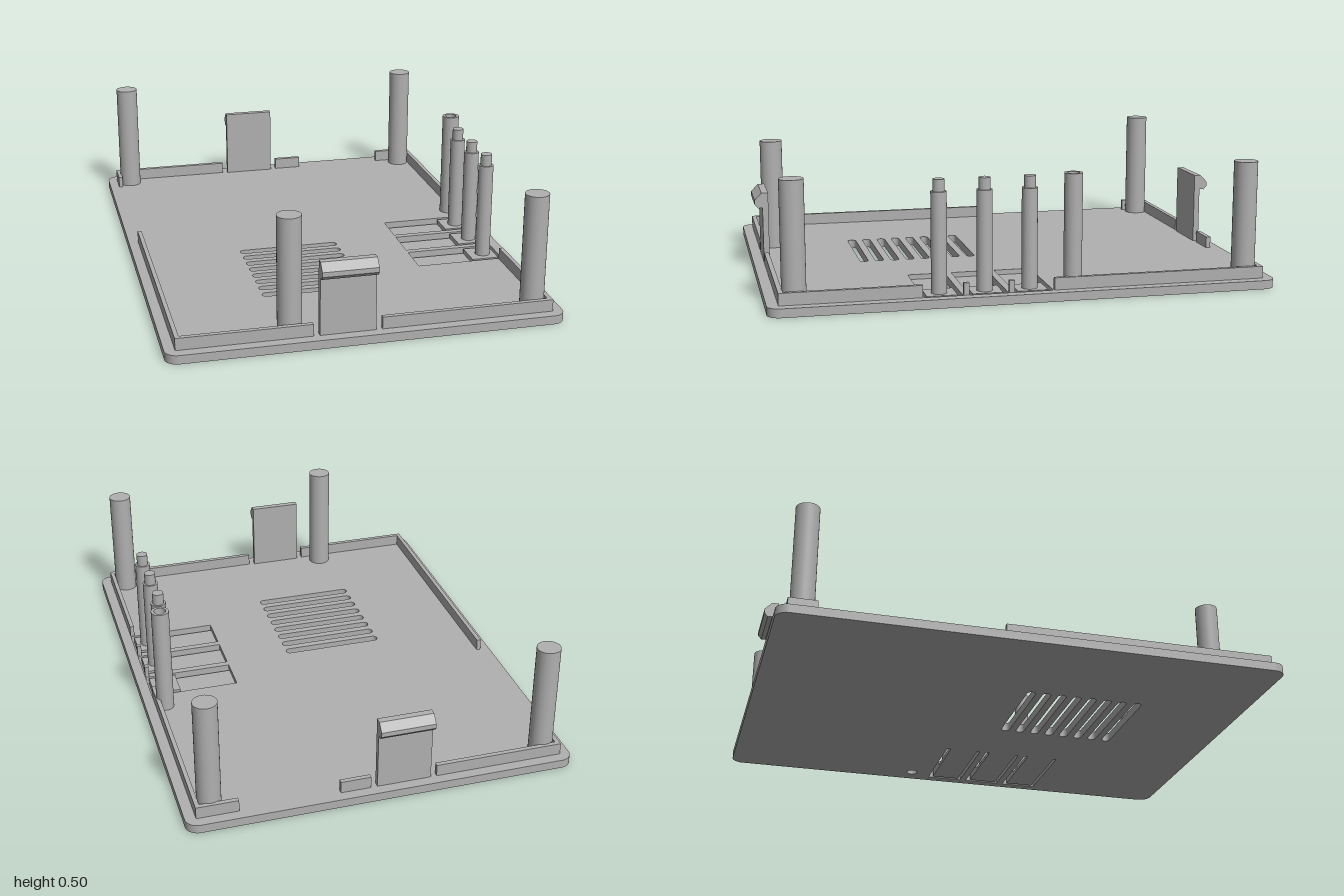
import * as THREE from 'three';

export function createModel() {
  const root = new THREE.Group();
  root.name = 'enclosureLid';
  const plastic = new THREE.MeshStandardMaterial({ color: 0xb0b0b0 });
  plastic.name = 'greyPlastic';

  const FLOOR = 0.035;

  function add(name, geometry) {
    const mesh = new THREE.Mesh(geometry, plastic);
    mesh.name = name;
    root.add(mesh);
    return mesh;
  }
  // box given by its limits on each axis
  function box(name, x0, x1, y0, y1, z0, z1) {
    const g = new THREE.BoxGeometry(x1 - x0, y1 - y0, z1 - z0);
    g.translate((x0 + x1) / 2, (y0 + y1) / 2, (z0 + z1) / 2);
    return add(name, g);
  }
  function post(name, x, z, r, y0, y1) {
    const g = new THREE.CylinderGeometry(r, r, y1 - y0, 32);
    g.translate(x, (y0 + y1) / 2, z);
    return add(name, g);
  }
  // outline in plan (drawn with y = -z), raised from y0 to y1
  function raise(name, shape, y0, y1) {
    const g = new THREE.ExtrudeGeometry(shape, { depth: y1 - y0, bevelEnabled: false, curveSegments: 16 });
    g.rotateX(-Math.PI / 2);
    g.translate(0, y0, 0);
    return add(name, g);
  }
  function roundedOutline(path, x0, x1, z0, z1, r) {
    path.absarc(x1 - r, -z0 - r, r, 0, Math.PI / 2);
    path.absarc(x0 + r, -z0 - r, r, Math.PI / 2, Math.PI);
    path.absarc(x0 + r, -z1 + r, r, Math.PI, Math.PI * 1.5);
    path.absarc(x1 - r, -z1 + r, r, Math.PI * 1.5, Math.PI * 2);
    path.closePath();
    return path;
  }
  function rectHole(x0, x1, z0, z1) {
    return new THREE.Path([[x0, z0], [x0, z1], [x1, z1], [x1, z0]].map(([x, z]) => new THREE.Vector2(x, -z)));
  }
  function roundHole(x, z, r) {
    return new THREE.Path().absarc(x, -z, r, 0, Math.PI * 2, true);
  }

  // base plate with vents, button openings and the light hole
  const plate = roundedOutline(new THREE.Shape(), -0.772, 0.772, -1, 1, 0.05);
  for (let i = 0; i < 8; i++) {
    const z = 0.093 + i * 0.0648, r = 0.0175;
    const slot = new THREE.Path();
    slot.absarc(0.095 - r, -z, r, -Math.PI / 2, Math.PI / 2);
    slot.absarc(-0.325 + r, -z, r, Math.PI / 2, Math.PI * 1.5);
    slot.closePath();
    plate.holes.push(slot);
  }
  const buttons = [-0.015, 0.163, 0.341];
  for (const z of buttons) plate.holes.push(rectHole(0.365, 0.73, z - 0.08, z + 0.07));
  plate.holes.push(roundHole(0.69, -0.182, 0.024));
  raise('basePlate', plate, 0, FLOOR);

  // flexible button tongues with their stepped pins
  for (const z of buttons) {
    box('buttonTongue', 0.365, 0.717, 0, 0.015, z - 0.063, z + 0.057);
    box('buttonPad', 0.605, 0.717, 0.015, FLOOR, z - 0.063, z + 0.057);
    post('buttonPin', 0.667, z, 0.031, FLOOR, 0.43);
    post('buttonPinTip', 0.667, z, 0.023, 0.43, 0.477);
  }

  // hollow light guide
  const ring = new THREE.Shape().absarc(0.69, 0.182, 0.036, 0, Math.PI * 2);
  ring.holes.push(roundHole(0.69, -0.182, 0.024));
  raise('lightTube', ring, FLOOR, 0.485);

  // support posts
  for (const [x, z] of [[-0.672, -0.897], [0.667, -0.897], [-0.293, 0.893], [0.667, 0.893]]) {
    post('supportPost', x, z, 0.047, FLOOR, 0.5);
  }

  // broken locating lip around the rim: x0, x1, z0, z1
  const lips = [
    [-0.732, -0.215, 0.938, 0.957], [0.05, 0.73, 0.938, 0.957],
    [-0.732, -0.215, -0.957, -0.938], [0.05, 0.17, -0.957, -0.938], [0.565, 0.73, -0.957, -0.938],
    [-0.732, -0.715, -0.938, -0.845], [-0.732, -0.715, -0.13, 0.938],
    [0.713, 0.73, -0.938, -0.1], [0.713, 0.73, 0.058, 0.08],
    [0.713, 0.73, 0.236, 0.258], [0.713, 0.73, 0.415, 0.938],
  ];
  for (const [x0, x1, z0, z1] of lips) box('rimLip', x0, x1, FLOOR, 0.083, z0, z1);

  // snap clips: hooked side profile (z, y) swept across the width
  const profile = new THREE.Shape([
    [0.933, FLOOR], [0.957, FLOOR], [0.957, 0.268], [0.975, 0.266], [0.989, 0.281],
    [0.989, 0.3], [0.96, 0.33], [0.933, 0.33],
  ].map(([z, y]) => new THREE.Vector2(z, y)));
  const clip = new THREE.ExtrudeGeometry(profile, { depth: 0.216, bevelEnabled: false });
  clip.rotateY(-Math.PI / 2);
  clip.translate(0.108, 0, 0);
  for (const [name, turn] of [['frontClip', 0], ['backClip', Math.PI]]) {
    const mesh = add(name, clip);
    mesh.position.x = -0.083;
    mesh.rotation.y = turn;
  }

  return root;
}
